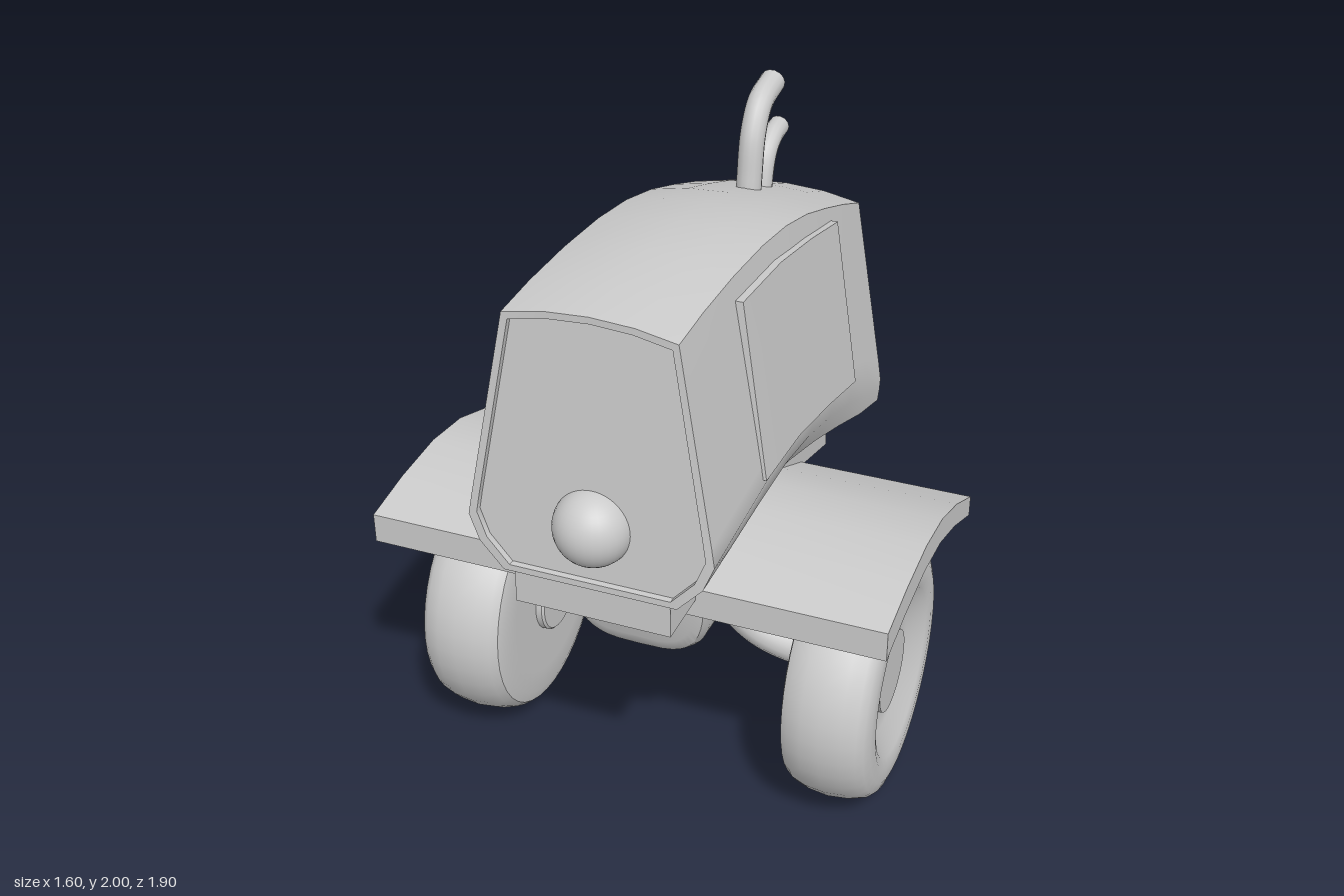
import * as THREE from 'three';
import { toCreasedNormals } from 'three/addons/utils/BufferGeometryUtils.js';

const material = new THREE.MeshStandardMaterial({ color: 0xcccccc });
const openMaterial = new THREE.MeshStandardMaterial({ color: 0xcccccc, side: THREE.DoubleSide });
const lerp = THREE.MathUtils.lerp;
const vec = (p) => new THREE.Vector3(...p);

// Skin between matching rings, closed at both ends; rings run counter-clockwise
// seen from the direction in which they advance.
function loft(rings, crease = 0.6) {
  const n = rings[0].length, index = [];
  for (let r = 0; r < rings.length - 1; r++) {
    for (let i = 0; i < n; i++) {
      const a = r * n + i, b = r * n + (i + 1) % n;
      index.push(a, b, b + n, a, b + n, a + n);
    }
  }
  const end = (rings.length - 1) * n;
  for (let i = 0; i < Math.floor(n / 2); i++) {
    const j = n - 1 - i;
    if (j - 1 > i + 1) {
      index.push(i, j - 1, i + 1, end + i, end + i + 1, end + j - 1);
    }
    if (j - 1 > i) index.push(i, j, j - 1, end + i, end + j - 1, end + j);
  }
  const g = new THREE.BufferGeometry();
  g.setAttribute('position', new THREE.Float32BufferAttribute(rings.flat(2), 3));
  g.setIndex(index);
  return toCreasedNormals(g, crease);
}

// Turned part: profile is a list of [radius, height]
function turned(profile, segments = 40, crease = 0.5) {
  const pts = profile.map(([r, h]) => new THREE.Vector2(r, h));
  return toCreasedNormals(new THREE.LatheGeometry(pts, segments), crease);
}

function pipe(points, radius, segments = 24) {
  const curve = new THREE.CatmullRomCurve3(points.map(vec), false, 'centripetal');
  return new THREE.TubeGeometry(curve, segments, radius, 14);
}

export function createModel() {
  const model = new THREE.Group();
  const add = (name, geometry, parent = model, mat = material) => {
    const mesh = new THREE.Mesh(geometry, mat);
    mesh.name = name;
    parent.add(mesh);
    return mesh;
  };

  // Hood: [zTop, zBottom, crownY, shoulderY, creaseY, bottomHalfWidth, bottomY]
  const hoodRing = ([zT, zB, crown, shoulder, crease, bw, bot]) => {
    const half = [
      [bw, bot], [lerp(bw, 0.365, 0.7), lerp(bot, crease, 0.5)], [0.365, crease],
      [0.355, crease + 0.06], [0.25, shoulder], [0.13, lerp(shoulder, crown, 0.75)],
    ];
    const outline = [...half, [0, crown], ...half.map(([x, y]) => [-x, y]).reverse()];
    return outline.map(([x, y]) => [x, y, lerp(zB, zT, (y - bot) / (crown - bot))]);
  };
  const hoodRings = [
    [-0.74, -0.70, 1.55, 1.52, 0.90, 0.36, 0.82],
    [-0.56, -0.54, 1.62, 1.59, 0.99, 0.345, 0.85],
    [-0.375, -0.375, 1.685, 1.655, 1.07, 0.32, 0.89],
    [-0.19, -0.19, 1.745, 1.715, 1.13, 0.30, 0.935],
    [0, 0, 1.79, 1.76, 1.17, 0.28, 0.97],
    [0.2, 0.2, 1.82, 1.787, 1.19, 0.27, 0.995],
    [0.43, 0.43, 1.836, 1.80, 1.19, 0.27, 1.0],
    [0.65, 0.66, 1.83, 1.80, 1.175, 0.265, 1.0],
    [0.82, 0.88, 1.82, 1.79, 1.16, 0.26, 1.005],
  ].map(hoodRing);
  // Raised rim around the recessed front face
  const front = hoodRings[hoodRings.length - 1];
  const inset = (depth) => front.map(([x, y, z]) => [x * 0.93, 1.41 + (y - 1.41) * 0.95, z - depth]);
  hoodRings.push(inset(0), inset(0.02));
  add('hood', loft(hoodRings, 0.8));

  // Raised side panel: [zTop, yTop, xTop, zBottom, yBottom]
  add('sidePanel', loft([
    [-0.41, 1.6, 0.28, -0.375, 1.07],
    [-0.14, 1.663, 0.283, -0.1, 1.135],
    [0.14, 1.715, 0.285, 0.19, 1.19],
    [0.45, 1.737, 0.285, 0.48, 1.205],
  ].map(([zT, yT, xT, zB, yB]) => [
    [0.372, yB, zB], [xT, yT, zT], [xT - 0.05, yT, zT], [0.31, yB, zB],
  ])));

  add('headlight', new THREE.SphereGeometry(0.115, 32, 24)).position.set(0, 1.187, 0.835);

  // Curved chassis beam under the hood, [z, y] bottom then top
  const beam = [
    [0.865, 0.893], [0.5, 0.89], [0.2, 0.90], [-0.05, 0.87], [-0.3, 0.775], [-0.525, 0.715],
    [-0.525, 0.81], [-0.3, 0.9], [-0.05, 0.98], [0.2, 1.01], [0.5, 1.01], [0.865, 1.01],
  ];
  add('chassis', loft([-0.235, 0.235].map((x) => beam.map(([z, y]) => [x, y, z]))));

  // Rounded gearbox belly: [zTop, zBottom, halfWidth, bottomY]
  add('belly', loft([
    [-0.26, -0.17, 0.20, 0.61], [-0.25, -0.16, 0.222, 0.575], [-0.2, -0.1, 0.233, 0.552],
    [0, 0.05, 0.235, 0.54], [0.4, 0.38, 0.235, 0.54], [0.55, 0.49, 0.233, 0.545],
    [0.595, 0.54, 0.222, 0.57], [0.61, 0.56, 0.20, 0.61],
  ].map(([zT, zB, w, bot]) => Array.from({ length: 25 }, (_, i) => {
    const a = Math.PI * (1 + i / 24), c = Math.cos(a), s = -Math.sin(a);
    const t = Math.pow(Math.max(s, 0), 0.75);
    return [w * Math.sign(c) * Math.pow(Math.abs(c), 0.55), lerp(0.88, bot, t), lerp(zT, zB, t)];
  })), 0.7));

  // Wheels, axles and fenders on both sides
  const tyre = [
    [0, 0.457], [0.27, 0.457], [0.345, 0.457], [0.378, 0.467], [0.396, 0.49], [0.411, 0.535], [0.418, 0.597],
    [0.411, 0.66], [0.396, 0.704], [0.378, 0.724], [0.345, 0.736], [0.30, 0.738], [0.27, 0.73],
    [0.20, 0.685], [0.14, 0.68], [0.135, 0.68], [0.132, 0.70], [0, 0.70],
  ];
  const hub = [[0, 0.43], [0.12, 0.43], [0.127, 0.437], [0.127, 0.47], [0, 0.47]];
  // Fender stations from front to rear: [z, top, outer bottom, inner bottom]
  const fender = [
    [0.68, 0.93, 0.835, 0.835], [0.5, 0.96, 0.868, 0.865], [0.3, 0.975, 0.885, 0.875],
    [0.12, 0.955, 0.87, 0.845], [-0.06, 0.895, 0.815, 0.77], [-0.26, 0.80, 0.73, 0.66],
  ];
  const fenderRing = (x, k) => [
    ...fender.map((f) => [x, f[k], f[0]]),
    ...fender.map((f) => [x, f[1], f[0]]).reverse(),
  ];
  for (const s of [1, -1]) {
    const side = s > 0 ? 'left' : 'right';
    const wheel = new THREE.Group();
    wheel.name = side + 'Wheel';
    wheel.position.set(0, 0.418, 0.205);
    wheel.rotation.z = -s * Math.PI / 2;
    add('tyre', turned(tyre, 40), wheel);
    add('innerHub', turned(hub, 32), wheel);
    model.add(wheel);

    add(side + 'Axle', pipe([
      [s * 0.46, 0.43, 0.205], [s * 0.37, 0.432, 0.205], [s * 0.27, 0.463, 0.205],
      [s * 0.18, 0.535, 0.205], [s * 0.1, 0.64, 0.205],
    ], 0.058));

    const rings = [fenderRing(s * 0.2, 3), fenderRing(s * 0.8, 2)];
    add(side + 'Fender', loft(s > 0 ? rings : rings.reverse()));
  }

  // Curved exhaust stacks
  add('tallExhaust', pipe([
    [0, 1.62, -0.365], [0, 1.72, -0.378], [0, 1.85, -0.405], [0, 1.93, -0.465], [0, 1.96, -0.58],
  ], 0.04), model, openMaterial);
  add('shortExhaust', pipe([
    [0, 1.55, -0.485], [0, 1.65, -0.497], [0, 1.735, -0.53], [0, 1.775, -0.585], [0, 1.787, -0.65],
  ], 0.033), model, openMaterial);

  // Rail on the rear face
  const rail = new THREE.CurvePath();
  const railPoints = [
    [-0.19, 1.47, -0.71], [-0.19, 1.405, -0.865], [-0.19, 0.915, -0.82], [-0.19, 0.905, -0.68],
  ].map(vec);
  for (let i = 0; i < 3; i++) {
    const a = railPoints[i], b = railPoints[i + 1];
    rail.add(new THREE.LineCurve3(
      i > 0 ? a.clone().lerp(b, 0.03 / a.distanceTo(b)) : a,
      i < 2 ? b.clone().lerp(a, 0.03 / a.distanceTo(b)) : b));
    if (i < 2) {
      const c = railPoints[i + 2];
      rail.add(new THREE.QuadraticBezierCurve3(
        b.clone().lerp(a, 0.03 / a.distanceTo(b)), b, b.clone().lerp(c, 0.03 / b.distanceTo(c))));
    }
  }
  add('rearRail', new THREE.TubeGeometry(rail, 60, 0.018, 12));

  // Canister hung on the rear face
  const canister = new THREE.Group();
  canister.name = 'canister';
  canister.position.set(0.06, 0, -0.84);
  model.add(canister);
  add('canisterBody', turned([
    [0, 1.05], [0.095, 1.05], [0.1, 1.057], [0.1, 1.105], [0.078, 1.11], [0.078, 1.245],
    [0.1, 1.25], [0.1, 1.30], [0.092, 1.33], [0.07, 1.358], [0.035, 1.372], [0, 1.375],
  ], 32), canister);
  for (let i = 0; i < 4; i++) {
    const a = Math.PI / 4 + i * Math.PI / 2;
    const post = add('canisterPost', new THREE.BoxGeometry(0.04, 0.16, 0.02), canister);
    post.position.set(Math.sin(a) * 0.086, 1.178, Math.cos(a) * 0.086);
    post.rotation.y = a;
  }
  // Straps with arms reaching the hood
  for (const y of [1.085, 1.265]) {
    const strap = add('strap', new THREE.TorusGeometry(0.104, 0.009, 8, 32), canister);
    strap.rotation.x = Math.PI / 2;
    strap.position.y = y;
    for (const s of [1, -1]) {
      add('strapArm', pipe([[s * 0.104, y, 0], [s * 0.11, y, 0.06], [s * 0.11, y, 0.16]], 0.009, 8), canister);
    }
  }
  // Filler cap and small valve on the lid
  const cap = turned([[0, -0.05], [0.022, -0.05], [0.022, 0.015], [0.035, 0.015], [0.035, 0.04], [0, 0.04]], 20);
  const filler = add('fillerCap', cap, canister);
  filler.position.set(0.05, 1.375, -0.035);
  filler.rotation.set(-0.4, 0, -0.4);
  const valve = add('valve', cap, canister);
  valve.scale.setScalar(0.65);
  valve.position.set(-0.03, 1.385, -0.03);

  return model;
}
